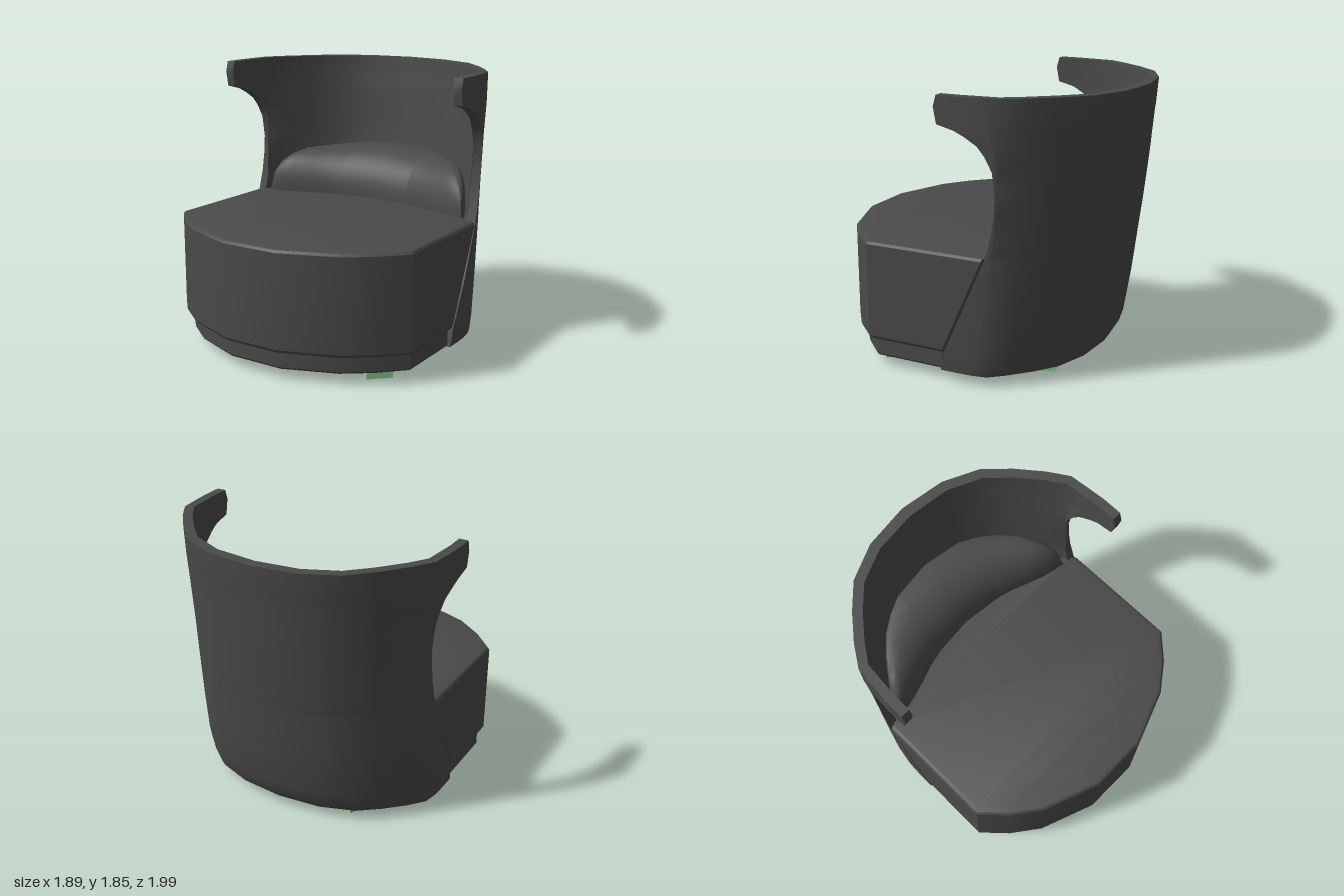
import * as THREE from 'three';
import { toCreasedNormals } from 'three/addons/utils/BufferGeometryUtils.js';

const fabric = new THREE.MeshStandardMaterial({ color: 0x4a4a4a });
const green = new THREE.MeshStandardMaterial({ color: 0x8fcf95 });

// Solid from closed cross-sections, capped by strips across each end loop
function loft(name, loops, crease = 0.6) {
  const n = loops[0].length, last = (loops.length - 1) * n, index = [];
  for (let r = 0; r < loops.length - 1; r++) {
    for (let i = 0; i < n; i++) {
      const a = r * n + i, b = r * n + (i + 1) % n;
      index.push(a, b, b + n, a, b + n, a + n);
    }
  }
  for (let i = 0; i < n / 2 - 1; i++) {
    const b = i + 1, c = n - 2 - i, d = n - 1 - i;
    index.push(i, c, b, i, d, c);
    index.push(last + i, last + b, last + c, last + i, last + c, last + d);
  }
  const geo = new THREE.BufferGeometry();
  geo.setAttribute('position', new THREE.Float32BufferAttribute(loops.flat(2), 3));
  geo.setIndex(index);
  const mesh = new THREE.Mesh(toCreasedNormals(geo, crease), fabric);
  mesh.name = name;
  return mesh;
}

// Full outline from its +x half, listed front to back
const mirrored = (half) => [...half, ...half.map(([x, z]) => [-x, z]).reverse()];
const atHeight = (outline, y) => outline.map(([x, z]) => [x, y, z]);

// Plan of the wraparound back, from the side to the middle
const backPlan = [[0.92, -0.4], [0.83, -0.54], [0.70, -0.70], [0.55, -0.85], [0.31, -0.96]];

// Back shell rows: height, z of the front edge, depth scale, width scale
const lowerRows = [
  [0.07, 0.02, 0.745, 0.96], [0.11, 0.01, 0.77, 0.965], [0.2, -0.01, 0.80, 0.97],
  [0.5, -0.145, 0.85, 0.975], [0.855, -0.3, 0.895, 0.98],
];
const upperRows = [
  [0.855, -0.3, 0.895, 0.98], [1.0, -0.34, 0.915, 0.98], [1.13, -0.36, 0.93, 0.98],
  [1.26, -0.372, 0.945, 0.983], [1.41, -0.355, 0.96, 0.988], [1.5, -0.31, 0.967, 0.992],
  [1.56, -0.265, 0.973, 0.995], [1.61, -0.19, 0.977, 0.998], [1.645, -0.12, 0.98, 1],
  [1.675, 0, 0.985, 1], [1.78, 0.02, 0.994, 1], [1.852, 0, 1, 1],
];

function shellLoop([y, edge, depth, width]) {
  const sideX = (z) => (0.92 + 0.025 * THREE.MathUtils.clamp((z + 0.4) / 0.25, 0, 1)) * width;
  const back = backPlan.map(([x, z]) => [x * width, z * depth]);
  const start = back[0][1];
  const arm = [1, 0.66, 0.33].map((t) => {
    const z = start + (edge - start) * t;
    return [sideX(z), z];
  });
  const half = [...arm, ...back, [0, -depth]];
  const outer = [...half, ...half.slice(0, -1).map(([x, z]) => [-x, z]).reverse()];
  // Inner wall: each point moved inwards along the plan normal
  const inner = outer.map(([x, z], i) => {
    const p = outer[Math.max(i - 1, 0)], q = outer[Math.min(i + 1, outer.length - 1)];
    const dx = q[0] - p[0], dz = q[1] - p[1], len = Math.hypot(dx, dz) || 1;
    const t = 0.062 + 0.012 * (1 - Math.abs(x));
    return [x + (dz / len) * t, z - (dx / len) * t];
  });
  return atHeight([...outer, ...inner.reverse()], y);
}

// Seat block: faceted front, sides cut along the slanted edge of the shell
function seatLoop(y, inset) {
  const edge = -0.01 - (y - 0.2) * 0.446, depth = 0.8 + (y - 0.2) * 0.145;
  const s = 1 - inset;
  const front = [[0.2, 0.992], [0.58, 0.85], [0.77, 0.71], [0.92, 0.55]].map(([x, z]) => [x * s, z * s]);
  const side = [[0.917 * s, edge + 0.02], [0.86, edge]];
  const back = backPlan.slice(1).map(([x, z]) => [x * 0.94, z * depth * 0.94]);
  return atHeight(mirrored([...front, ...side, ...back]), y);
}

// Plinth under the seat
function plinthLoop(y, s) {
  const half = [[0.2, 0.945], [0.55, 0.81], [0.73, 0.675], [0.89, 0.51], [0.89, 0.02], [0.85, -0.05],
    ...backPlan.slice(1).map(([x, z]) => [x * 0.92, z * 0.69])];
  return atHeight(mirrored(half.map(([x, z]) => [x * s, z * s])), y);
}

// Lumbar cushion stations: x, z at front, z at back, top height
const stations = [[0, -0.478, -0.865, 1.222], [0.285, -0.45, -0.825, 1.207], [0.4, -0.42, -0.765, 1.195],
  [0.52, -0.375, -0.685, 1.18], [0.64, -0.335, -0.56, 1.165], [0.7, -0.32, -0.485, 1.135],
  [0.75, -0.31, -0.42, 1.09], [0.785, -0.305, -0.37, 1.02], [0.805, -0.3, -0.33, 0.88]];

function cushionLoop([x, front, back, top]) {
  const loop = [[x, 0.84, back - 0.02], [x, top - 0.01, back - 0.02]];
  for (let i = 10; i >= 0; i--) {
    const a = (i / 10) * Math.PI / 2;
    loop.push([x, 0.86 + (top - 0.86) * Math.sin(a) ** 0.9, back + (front - back) * Math.cos(a) ** 0.85]);
  }
  loop.push([x, 0.84, front]);
  return loop;
}

export function createModel() {
  const model = new THREE.Group();
  model.name = 'armchair';

  model.add(loft('lowerShell', lowerRows.map(shellLoop)));
  model.add(loft('upperShell', upperRows.map(shellLoop)));
  model.add(loft('seat', [[0.195, 0.012], [0.215, 0], [0.842, 0], [0.858, 0.012], [0.867, 0.04]]
    .map(([y, inset]) => seatLoop(y, inset)), 0.5));
  model.add(loft('plinth', [[0.072, 0.99], [0.085, 1], [0.198, 1]].map(([y, s]) => plinthLoop(y, s)), 0.5));

  // Cushion in three panels
  const flip = ([x, ...rest]) => [-x, ...rest];
  const rightSide = stations.slice(1);
  const leftSide = rightSide.map(flip).reverse();
  model.add(loft('cushionMiddle', [flip(stations[1]), stations[0], stations[1]].map(cushionLoop)));
  model.add(loft('cushionLeft', rightSide.map(cushionLoop), 0.8));
  model.add(loft('cushionRight', leftSide.map(cushionLoop), 0.8));

  // Four block feet, each turned about its centre
  for (const side of [1, -1]) {
    for (const [name, x, z, turn] of [['frontFoot', 0.675, 0.548, -Math.PI / 4], ['backFoot', 0.457, -0.498, 0.386]]) {
      const foot = new THREE.Mesh(new THREE.BoxGeometry(0.09, 0.08, 0.173), green);
      foot.name = name;
      foot.position.set(x * side, 0.04, z);
      foot.rotation.y = turn * side;
      model.add(foot);
    }
  }
  return model;
}
